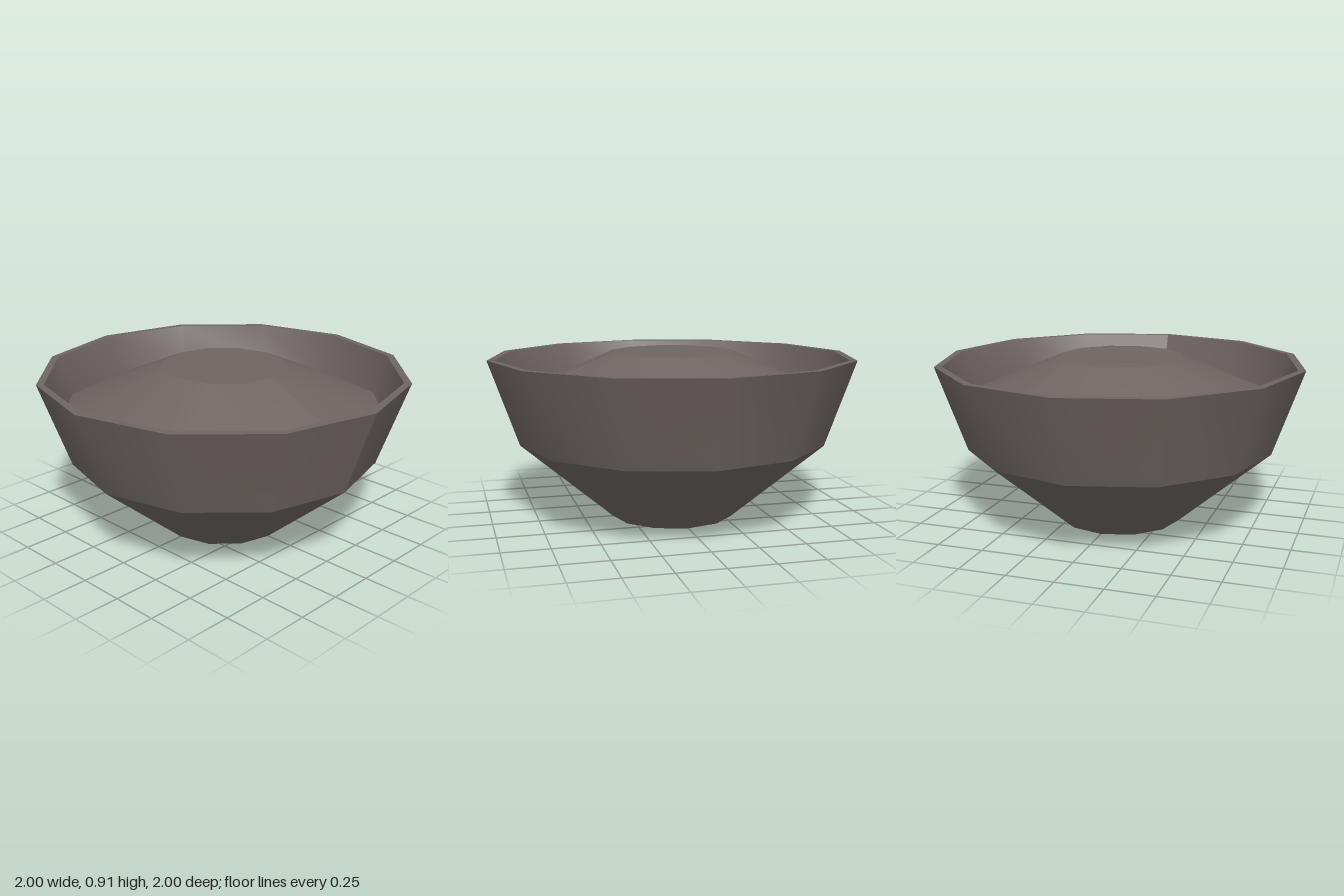
import * as THREE from 'three';

const SIDES = 12;

export function createModel() {
  const model = new THREE.Group();
  model.name = 'filledBowl';

  const stone = new THREE.MeshStandardMaterial({ color: 0x6e6562 });
  stone.name = 'warm grey stone';

  // One twelve-sided ring between two [radius, height] points;
  // separate rings keep the edges between them sharp.
  function ring(name, from, to, parent) {
    const points = [from, to].map(([r, y]) => new THREE.Vector2(r, y));
    const geometry = new THREE.LatheGeometry(points, SIDES);
    geometry.computeVertexNormals();
    const mesh = new THREE.Mesh(geometry, stone);
    mesh.name = name;
    parent.add(mesh);
  }

  // Bowl: base, flared lower wall, steep upper wall, rim and inner wall
  const bowl = new THREE.Group();
  bowl.name = 'bowl';
  const foot = [0.34, 0], waist = [0.84, 0.425], lip = [1, 0.885];
  const innerLip = [0.96, 0.885], fillEdge = [0.89, 0.67];
  ring('base', [0, 0], foot, bowl);
  ring('lowerWall', foot, waist, bowl);
  ring('upperWall', waist, lip, bowl);
  ring('rim', lip, innerLip, bowl);
  ring('innerWall', innerLip, fillEdge, bowl);

  // Contents: a sloping mound with a flat top
  const mound = new THREE.Group();
  mound.name = 'mound';
  const crown = [0.34, 0.91];
  ring('moundSlope', fillEdge, crown, mound);
  ring('moundTop', crown, [0, 0.91], mound);

  model.add(bowl, mound);
  return model;
}
